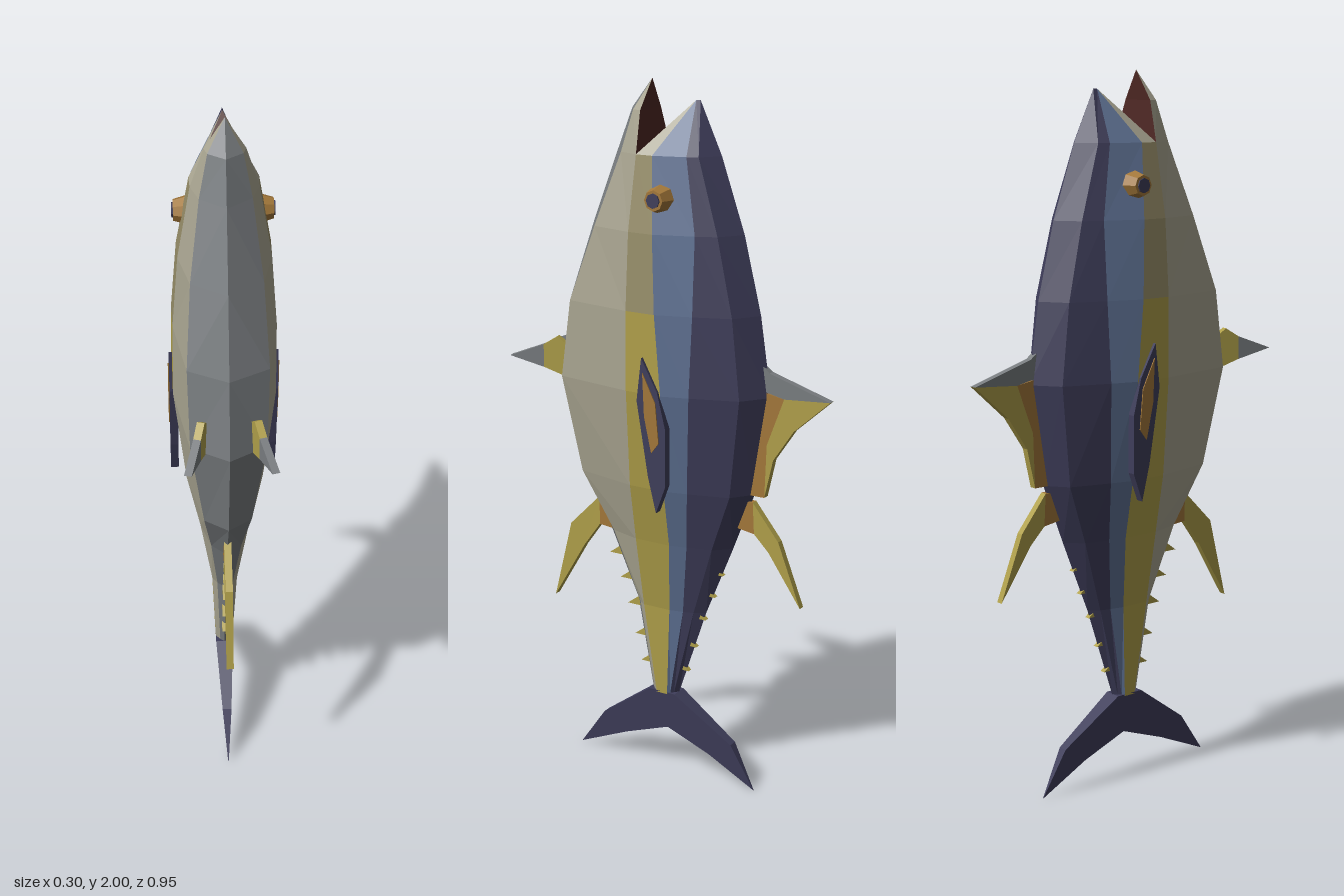
import * as THREE from 'three';

const paint = (name, color) => {
  const m = new THREE.MeshStandardMaterial({ color });
  m.name = name;
  return m;
};

export function createModel() {
  const grey = paint('belly grey', 0x797d80);
  const pale = paint('pale flank', 0xa9a591);
  const tan = paint('tan cheek', 0x968d68);
  const yellow = paint('yellow', 0xb0a04a);
  const blue = paint('steel blue', 0x5f7294);
  const navy = paint('navy back', 0x3f3e5b);
  const maroon = paint('mouth maroon', 0x4e2723);
  const orange = paint('orange', 0xa3783a);

  const model = new THREE.Group();
  model.name = 'fish';

  const add = (name, geometry, material, parent = model) => {
    const mesh = new THREE.Mesh(geometry, material);
    mesh.name = name;
    parent.add(mesh);
    return mesh;
  };

  // Flat-shaded triangles from a list of corner points
  const facets = (corners) => {
    const g = new THREE.BufferGeometry().setFromPoints(corners);
    g.computeVertexNormals();
    return g;
  };
  const V = (x, y, z) => new THREE.Vector3(x, y, z);
  const flip = (p) => V(-p.x, p.y, p.z);

  // Mirrored skin between lengthwise lines `from` and `to` of a stack of half rings
  const skin = (name, rings, from, to, material) => {
    const out = [];
    for (let i = 0; i < rings.length - 1; i++) {
      for (let j = from; j < to; j++) {
        const a = rings[i][j], b = rings[i][j + 1];
        const c = rings[i + 1][j], d = rings[i + 1][j + 1];
        const half = [a, b, c, b, d, c];
        out.push(...half);
        for (let k = 0; k < 6; k += 3) out.push(flip(half[k]), flip(half[k + 2]), flip(half[k + 1]));
      }
    }
    return add(name, facets(out), material);
  };

  // Body stations: y, belly z, belly crease z and x, flank z, blue start z,
  // blue end z, back crease z and x, back z, half width
  const stations = [
    [0.25, 0.075, 0.065, 0.012, 0.05, 0.015, 0.008, 0, 0.012, -0.01, 0.025],
    [0.52, 0.125, 0.105, 0.022, 0.085, 0, -0.04, -0.07, 0.02, -0.1, 0.036],
    [0.73, 0.22, 0.18, 0.042, 0.09, -0.02, -0.07, -0.14, 0.042, -0.185, 0.07],
    [0.9, 0.315, 0.27, 0.064, 0.085, -0.025, -0.09, -0.205, 0.06, -0.25, 0.107],
    [1.18, 0.37, 0.31, 0.1, 0.075, -0.035, -0.11, -0.24, 0.075, -0.295, 0.14],
    [1.4, 0.33, 0.275, 0.105, 0.075, -0.015, -0.115, -0.215, 0.073, -0.262, 0.138],
    [1.61, 0.26, 0.2, 0.092, 0.075, 0, -0.11, -0.165, 0.065, -0.21, 0.122],
    [1.81, 0.18, 0.13, 0.066, 0.07, 0.02, -0.07, -0.1, 0.052, -0.14, 0.088],
  ];
  const rings = stations.map(([y, zb, zc, xc, zf, z1, z2, zk, xk, zr, w]) => {
    const t = (z1 - z2) / (z1 - zk);
    return [
      V(0, y, zb), V(xc, y, zc), V(w * 0.985, y, zf), V(w, y, z1),
      V(w + (xk - w) * t * 0.9, y, z2), V(xk, y, zk), V(0, y, zr),
    ];
  });
  skin('belly', rings, 0, 1, grey);
  skin('paleFlank', rings, 1, 2, pale);
  skin('yellowBand', rings.slice(0, 6), 2, 3, yellow);
  skin('cheekBand', rings.slice(5), 2, 3, tan);
  skin('blueBand', rings, 3, 4, blue);
  skin('back', rings, 4, 6, navy);

  // Upper jaw closes on the snout tip
  const head = rings[7];
  const snout = V(0, 1.95, -0.062);
  const snoutRings = [head, head.map((p, j) => (j > 4 ? V(0, 1.95, -0.075) : snout))];
  skin('upperLip', snoutRings, 2, 3, pale);
  skin('snoutSide', snoutRings, 3, 4, blue);
  skin('snoutTop', snoutRings, 4, 6, navy);

  // Lower jaw and the mouth lining
  const corner = head[2];
  const edge = V(0.052, 1.92, 0.078);
  const jawTip = V(0, 2, 0.072);
  const jawRings = [
    head.slice(0, 3),
    [V(0, 1.92, 0.135), V(0.044, 1.92, 0.105), edge],
    [jawTip, jawTip, jawTip],
  ];
  skin('lowerJaw', jawRings, 0, 1, grey);
  skin('lowerLip', jawRings, 1, 2, pale);
  add('mouthRoof', facets([corner, snout, flip(corner)]), maroon);
  add('mouthFloor', facets([
    corner, flip(corner), edge, flip(corner), flip(edge), edge, edge, flip(edge), jawTip,
  ]), maroon);

  // Upright plate from [z, y] points, centred on x = 0
  const plate = (points, thick) => {
    const shape = new THREE.Shape(points.map(([z, y]) => new THREE.Vector2(-z, y)));
    return new THREE.ExtrudeGeometry(shape, { depth: thick, bevelEnabled: false })
      .translate(0, 0, -thick / 2).rotateY(Math.PI / 2);
  };

  // Tail fin, thinning toward its tips
  const tail = plate([
    [0.075, 0.255], [0.24, 0.135], [0.33, 0.01], [0.165, 0.085], [0.02, 0.14],
    [-0.115, 0.085], [-0.26, 0.005], [-0.19, 0.135], [-0.01, 0.255],
  ], 0.05);
  const tp = tail.attributes.position;
  for (let i = 0; i < tp.count; i++) tp.setX(i, tp.getX(i) * Math.max(0.04, tp.getY(i) / 0.255));
  tail.computeVertexNormals();
  add('tailFin', tail, navy);

  // Fins on the centre line
  add('frontDorsalFinEdge', plate([[-0.27, 1.27], [-0.295, 1.25], [-0.475, 1.195], [-0.34, 1.185], [-0.27, 1.2]], 0.02), grey);
  add('frontDorsalFin', plate([[-0.34, 1.185], [-0.475, 1.195], [-0.37, 1.1], [-0.31, 1.01], [-0.285, 0.9], [-0.29, 1.05]], 0.02), yellow);
  add('frontDorsalFinBase', plate([[-0.25, 1.2], [-0.34, 1.185], [-0.29, 1.05], [-0.285, 0.9], [-0.22, 0.9]], 0.02), orange);
  add('rearDorsalFin', plate([[-0.25, 0.88], [-0.33, 0.78], [-0.4, 0.6], [-0.3, 0.745], [-0.255, 0.79]], 0.02), yellow);
  add('rearDorsalFinBase', plate([[-0.18, 0.82], [-0.22, 0.88], [-0.25, 0.88], [-0.255, 0.79], [-0.19, 0.8]], 0.02), orange);
  add('analFin', plate([[0.25, 0.81], [0.35, 0.71], [0.41, 0.475], [0.305, 0.65], [0.25, 0.725]], 0.02), yellow);
  add('analFinBase', plate([[0.22, 0.8], [0.25, 0.81], [0.25, 0.725], [0.2, 0.72]], 0.02), orange);

  // Two rows of finlets toward the tail
  const finletRows = [
    [1, [[0.185, 0.645], [0.15, 0.575], [0.125, 0.5], [0.1, 0.41], [0.08, 0.33]]],
    [-1, [[-0.125, 0.645], [-0.1, 0.575], [-0.07, 0.5], [-0.04, 0.41], [-0.015, 0.33]]],
  ];
  for (const [side, spots] of finletRows) {
    for (const [z, y] of spots) {
      add('finlet', plate([[z - side * 0.015, y + 0.035], [z + side * 0.032, y], [z - side * 0.02, y]], 0.016), yellow);
    }
  }

  for (const side of [1, -1]) {
    const label = side > 0 ? 'left' : 'right';

    // Belly fin, splayed outward
    const belly = new THREE.Group();
    belly.name = label + 'BellyFin';
    belly.position.set(side * 0.065, 0, 0.31);
    belly.rotation.y = side * 0.27;
    add('finRoot', plate([[-0.02, 1.25], [0.03, 1.285], [0.07, 1.26], [0.07, 1.195], [0, 1.17]], 0.02), yellow, belly);
    add('finTip', plate([[0.07, 1.26], [0.17, 1.222], [0.07, 1.195]], 0.02), grey, belly);
    model.add(belly);

    // Side fin lying along the flank
    const flank = new THREE.Group();
    flank.name = label + 'SideFin';
    flank.position.x = side * 0.136;
    add('finBlade', plate([
      [0.02, 1.28], [-0.03, 1.19], [-0.055, 1.09], [-0.055, 0.93],
      [-0.025, 0.85], [0, 0.95], [0.035, 1.16],
    ], 0.022), navy, flank);
    const patch = add('finPatch', plate([[0.015, 1.24], [-0.025, 1.16], [-0.035, 1.05], [-0.012, 1.02], [0.01, 1.12]], 0.006), orange, flank);
    patch.position.x = side * 0.011;
    model.add(flank);

    // Eye with a dark pupil
    const eye = new THREE.Group();
    eye.name = label + 'Eye';
    eye.position.set(side * 0.108, 1.7, -0.008);
    eye.rotation.z = -side * Math.PI / 2;
    const disc = (r1, r2, h) => {
      const g = new THREE.CylinderGeometry(r1, r2, h, 8).toNonIndexed();
      g.computeVertexNormals();
      return g;
    };
    add('eyeball', disc(0.028, 0.04, 0.04), orange, eye);
    add('pupil', disc(0.02, 0.02, 0.008), navy, eye).position.y = 0.02;
    model.add(eye);
  }

  return model;
}
